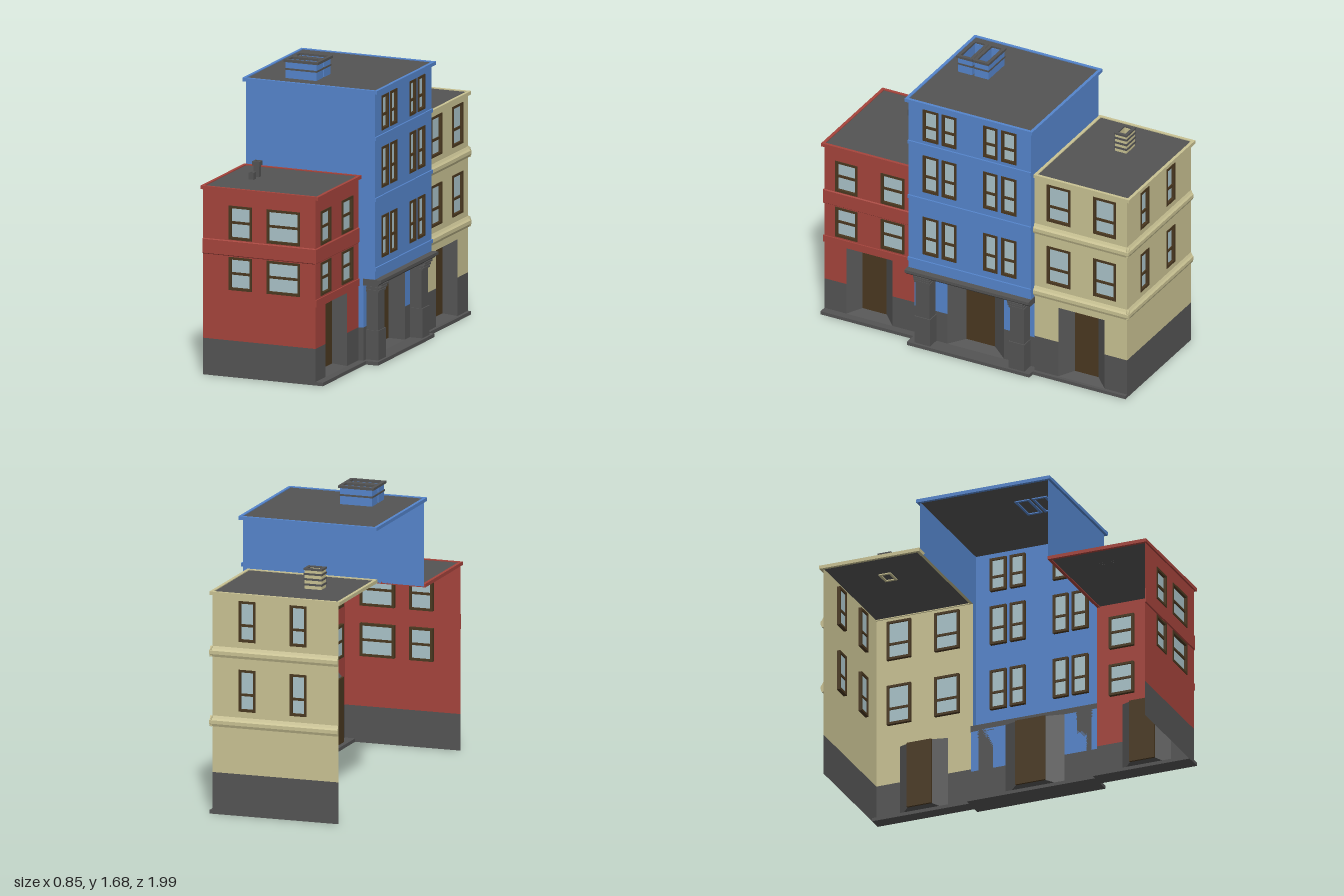
import * as THREE from 'three';

const mat = (color) => new THREE.MeshStandardMaterial({ color, side: THREE.DoubleSide, flatShading: true });

export function createModel() {
  const model = new THREE.Group();
  model.name = 'terraceOfHouses';
  const red = mat(0xa5443c), blue = mat(0x5585cc), cream = mat(0xc9c293);
  const grey = mat(0x545454), brown = mat(0x4a3820), glass = mat(0xaac3c9);

  const add = (parent, name, geo, m) => {
    const mesh = new THREE.Mesh(geo, m);
    mesh.name = name;
    parent.add(mesh);
    return mesh;
  };
  // Box given by its limits on each axis
  const box = (parent, name, m, x0, x1, y0, y1, z0, z1) =>
    add(parent, name, new THREE.BoxGeometry(x1 - x0, y1 - y0, z1 - z0), m)
      .position.set((x0 + x1) / 2, (y0 + y1) / 2, (z0 + z1) / 2);

  const rect = (Type, [u0, u1, y0, y1]) => new Type([
    new THREE.Vector2(u0, y0), new THREE.Vector2(u1, y0), new THREE.Vector2(u1, y1), new THREE.Vector2(u0, y1)]);

  // A face is a group whose local x runs along the wall, local z points outwards
  const face = (parent, name, x, z, turn) => {
    const g = new THREE.Group();
    g.name = name;
    g.position.set(x, 0, z);
    g.rotation.y = turn;
    parent.add(g);
    return g;
  };
  const panel = (f, name, m, r, holes = []) => {
    const s = rect(THREE.Shape, r);
    for (const h of holes) s.holes.push(rect(THREE.Path, h));
    add(f, name, new THREE.ShapeGeometry(s), m);
  };
  // Sash window: frame, glass and meeting rail
  const sash = (f, [u0, u1, y0, y1], railAt) => {
    const g = new THREE.Group();
    g.name = 'window';
    f.add(g);
    const b = 0.014, s = rect(THREE.Shape, [u0, u1, y0, y1]);
    s.holes.push(rect(THREE.Path, [u0 + b, u1 - b, y0 + b, y1 - b]));
    const frame = new THREE.ExtrudeGeometry(s, { depth: 0.024, bevelEnabled: false });
    add(g, 'windowFrame', frame.translate(0, 0, -0.02), brown);
    const yr = y0 + (y1 - y0) * railAt;
    box(g, 'meetingRail', brown, u0 + b, u1 - b, yr - 0.007, yr + 0.007, -0.018, -0.004);
    panel(g, 'glass', glass, [u0 + b, u1 - b, y0 + b, y1 - b]);
    g.children[2].position.z = -0.012;
  };
  const windowedWall = (f, m, r, cols, rows, railAt) => {
    const wins = rows.flatMap(([a, b]) => cols.map(([c, d]) => [c, d, a, b]));
    panel(f, 'wall', m, r, wins);
    wins.forEach((w) => sash(f, w, railAt));
  };
  // Splayed doorway cut into the wall, with the door at the back
  const doorway = (f, c, outer, inner, top, depth) => {
    const ring = (h, y0, y1, z) => [[c - h, y0, z], [c + h, y0, z], [c + h, y1, z], [c - h, y1, z]];
    const o = ring(outer, 0.02, top, 0), n = ring(inner, 0.045, top - 0.02, -depth);
    const pts = [];
    for (let i = 0; i < 4; i++) {
      const j = (i + 1) % 4;
      pts.push(...o[i], ...o[j], ...n[j], ...o[i], ...n[j], ...n[i]);
    }
    const geo = new THREE.BufferGeometry();
    geo.setAttribute('position', new THREE.Float32BufferAttribute(pts, 3));
    geo.computeVertexNormals();
    add(f, 'doorReveal', geo, grey);
    box(f, 'door', brown, c - inner, c + inner, 0.045, top - 0.02, -depth - 0.012, -depth);
  };
  // Ground floor walls on both sides of a doorway
  const groundFloor = (f, m, u0, u1, c, outer, top, base) => {
    for (const [a, b] of [[u0, c - outer], [c + outer, u1]]) {
      panel(f, 'plinth', grey, [a, b, 0, base]);
      panel(f, 'groundWall', m, [a, b, base, top]);
    }
  };
  // Moulding: a profile of [out, y] points run along a face
  const moulding = (f, name, m, profile, u0, u1) => {
    const s = new THREE.Shape(profile.map(([x, y]) => new THREE.Vector2(x, y)));
    const g = new THREE.ExtrudeGeometry(s, { depth: u1 - u0, bevelEnabled: false });
    add(f, name, g.rotateY(-Math.PI / 2).translate(u1, 0, 0), m);
  };
  const flatRoof = (p, m, x0, x1, z0, z1, y, h = 0.02, t = 0.018) => {
    box(p, 'roof', grey, x0 + t, x1 - t, y - h * 0.7, y - h * 0.25, z0 + t, z1 - t);
    box(p, 'cornice', m, x0, x0 + t, y - h, y, z0, z1);
    box(p, 'cornice', m, x1 - t, x1, y - h, y, z0, z1);
    box(p, 'cornice', m, x0 + t, x1 - t, y - h, y, z0, z0 + t);
    box(p, 'cornice', m, x0 + t, x1 - t, y - h, y, z1 - t, z1);
  };
  // Hollow rectangular tube used for the chimneys
  const hollow = (p, name, m, x, z, w, d, y0, y1, t = 0.014) => {
    const s = rect(THREE.Shape, [-w / 2, w / 2, -d / 2, d / 2]);
    s.holes.push(rect(THREE.Path, [-w / 2 + t, w / 2 - t, -d / 2 + t, d / 2 - t]));
    const g = new THREE.ExtrudeGeometry(s, { depth: y1 - y0, bevelEnabled: false });
    add(p, name, g.rotateX(-Math.PI / 2), m).position.set(x, y0, z);
  };
  const house = (name) => {
    const g = new THREE.Group();
    g.name = name;
    model.add(g);
    return g;
  };
  const street = Math.PI / 2; // turn for walls facing +x, where local x is -z

  // Red house
  const rh = house('redHouse');
  const redRows = [[0.5, 0.69], [0.79, 0.985]];
  const rf = face(rh, 'redFacade', 0.28, 0, street);
  groundFloor(rf, red, -0.98, -0.39, -0.693, 0.147, 0.44, 0.21);
  windowedWall(rf, red, [-0.98, -0.39, 0.44, 1.07], [[-0.91, -0.77], [-0.62, -0.47]], redRows, 0.5);
  doorway(rf, -0.693, 0.147, 0.077, 0.44, 0.06);
  box(rf, 'stringCourse', red, -0.985, -0.39, 0.45, 0.49, 0, 0.008);
  box(rf, 'doorstep', grey, -0.98, -0.39, 0, 0.02, -0.06, 0.045);
  const rs = face(rh, 'redSideWall', 0, 0.98, 0);
  panel(rs, 'plinth', grey, [-0.41, 0.28, 0, 0.21]);
  windowedWall(rs, red, [-0.41, 0.28, 0.21, 1.07], [[-0.25, -0.11], [-0.02, 0.185]], redRows, 0.5);
  const redBand = [[0, 0.695], [0.006, 0.7], [0.006, 0.78], [0, 0.785]];
  moulding(rf, 'stringCourse', red, redBand, -0.986, -0.39);
  moulding(rs, 'stringCourse', red, redBand, -0.41, 0.286);
  flatRoof(rh, red, -0.42, 0.3, 0.39, 0.99, 1.085);
  hollow(rh, 'chimneyPot', grey, -0.23, 0.635, 0.032, 0.032, 1.07, 1.15, 0.008);
  hollow(rh, 'chimneyPotRim', grey, -0.23, 0.635, 0.044, 0.044, 1.145, 1.17, 0.01);
  hollow(rh, 'ventPot', grey, -0.23, 0.705, 0.03, 0.03, 1.07, 1.12, 0.007);

  // Blue house: upper floors overhang a ground floor set behind pilasters
  const bh = house('blueHouse');
  const bf = face(bh, 'blueFacade', 0.38, 0, street);
  const half = [[0.085, 0.177], [0.2, 0.298]];
  const blueCols = [...half, ...half.map(([a, b]) => [-b, -a])];
  windowedWall(bf, blue, [-0.39, 0.39, 0.47, 1.57], blueCols, [[0.6, 0.84], [1, 1.235], [1.33, 1.53]], 0.42);
  for (const y of [0.55, 0.95, 1.3]) box(bf, 'stringCourse', blue, -0.392, 0.392, y - 0.01, y + 0.01, 0, 0.01);
  const bg = face(bh, 'blueGroundFloor', 0.31, 0, street);
  groundFloor(bg, blue, -0.39, 0.39, 0, 0.18, 0.46, 0.21);
  doorway(bg, 0, 0.18, 0.09, 0.46, 0.06);
  moulding(bg, 'shopCornice', grey,
    [[0, 0.455], [0.085, 0.455], [0.1, 0.47], [0.11, 0.475], [0.11, 0.492], [0, 0.492]], -0.395, 0.395);
  box(bg, 'step', grey, -0.39, 0.39, 0, 0.02, -0.06, 0.09);
  for (const s of [-1, 1]) {
    box(bg, 'pilaster', grey, s * 0.3 - 0.045, s * 0.3 + 0.045, 0.02, 0.46, 0, 0.07);
    box(bg, 'pilasterPedestal', grey, s * 0.3 - 0.05, s * 0.3 + 0.05, 0.02, 0.19, 0, 0.076);
    for (const [i, y] of [0.41, 0.428, 0.446].entries())
      box(bg, 'capital', grey, s * 0.3 - 0.05, s * 0.3 + 0.05, y, y + 0.011, 0, 0.078 + i * 0.008);
  }
  const sideL = face(bh, 'blueSideWall', 0, 0.39, 0);
  panel(sideL, 'wall', blue, [-0.41, 0.38, 1.07, 1.57]);
  panel(sideL, 'wallReturn', blue, [0.28, 0.38, 0.47, 1.07]);
  panel(sideL, 'wallReturn', blue, [0.28, 0.31, 0.21, 0.47]);
  panel(sideL, 'plinth', grey, [0.28, 0.31, 0, 0.21]);
  const sideR = face(bh, 'blueSideWall', 0, -0.39, Math.PI);
  panel(sideR, 'wall', blue, [-0.38, 0.41, 1.26, 1.57]);
  panel(sideR, 'wallReturn', blue, [-0.38, -0.34, 0.47, 1.26]);
  flatRoof(bh, blue, -0.425, 0.4, -0.408, 0.405, 1.58);
  for (const z of [0.143, 0.247]) {
    hollow(bh, 'chimney', blue, -0.115, z, 0.19, 0.09, 1.56, 1.67);
    hollow(bh, 'chimneyBand', grey, -0.115, z, 0.196, 0.096, 1.623, 1.633);
    hollow(bh, 'chimneyCap', grey, -0.115, z, 0.212, 0.102, 1.668, 1.682, 0.02);
  }

  // Cream house
  const ch = house('creamHouse');
  const creamRows = [[0.6, 0.84], [1, 1.235]];
  const cf = face(ch, 'creamFacade', 0.34, 0, street);
  groundFloor(cf, cream, 0.39, 0.98, 0.69, 0.147, 0.46, 0.24);
  windowedWall(cf, cream, [0.39, 0.98, 0.46, 1.27], [[0.47, 0.62], [0.765, 0.91]], creamRows, 0.4);
  doorway(cf, 0.69, 0.147, 0.075, 0.46, 0.06);
  box(cf, 'doorstep', grey, 0.39, 0.98, 0, 0.02, -0.06, 0.02);
  const cs = face(ch, 'creamSideWall', 0, -0.98, Math.PI);
  panel(cs, 'plinth', grey, [-0.34, 0.41, 0, 0.24]);
  windowedWall(cs, cream, [-0.34, 0.41, 0.24, 1.27], [[-0.185, -0.085], [0.12, 0.22]], creamRows, 0.4);
  const cr = face(ch, 'creamReturn', 0, -0.39, 0);
  panel(cr, 'plinth', grey, [0.31, 0.34, 0, 0.24]);
  panel(cr, 'wallReturn', cream, [0.31, 0.34, 0.24, 0.47]);
  for (const y of [0.505, 0.905]) {
    const p = [[0, y], [0.01, y], [0.016, y + 0.015], [0.016, y + 0.035], [0.008, y + 0.045], [0, y + 0.06]];
    moulding(cf, 'stringCourse', cream, p, 0.39, 0.994);
    moulding(cs, 'stringCourse', cream, p, -0.354, 0.41);
  }
  flatRoof(ch, cream, -0.425, 0.352, -1, -0.39, 1.28);
  hollow(ch, 'chimney', cream, -0.165, -0.692, 0.1, 0.074, 1.26, 1.385);
  for (const y of [1.295, 1.325, 1.355, 1.382])
    hollow(ch, 'chimneyBand', grey, -0.165, -0.692, 0.11, 0.082, y, y + 0.011, 0.018);

  return model;
}
